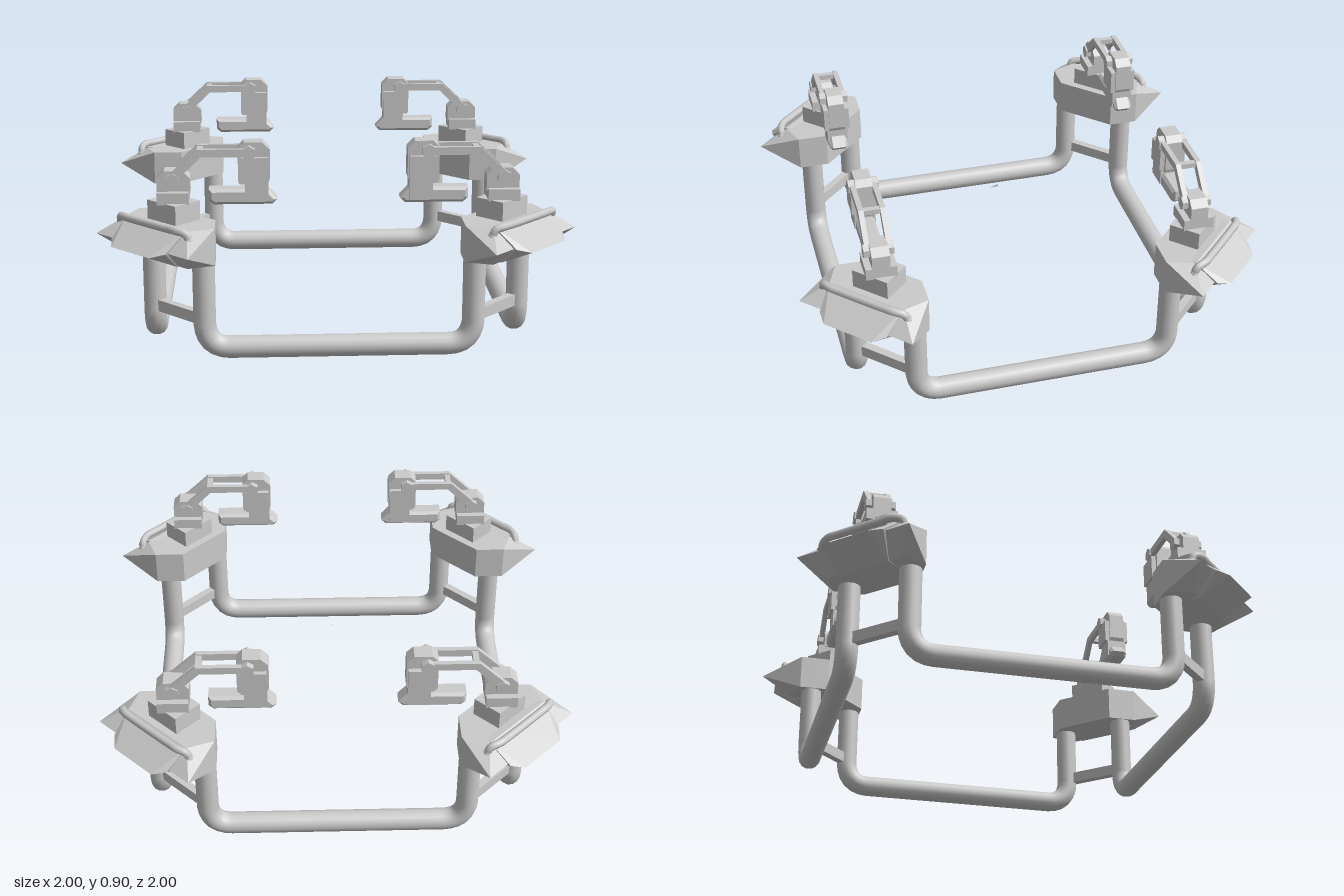
import * as THREE from 'three';
import { ConvexGeometry } from 'three/addons/geometries/ConvexGeometry.js';

const smooth = new THREE.MeshStandardMaterial({ color: 0xcccccc });
const flat = new THREE.MeshStandardMaterial({ color: 0xcccccc, flatShading: true });

function add(parent, name, geometry, material = flat) {
  const mesh = new THREE.Mesh(geometry, material);
  mesh.name = name;
  parent.add(mesh);
  return mesh;
}

// Box given by its limits in x and y, centred on a z
function box(x0, x1, y0, y1, depth, z = 0) {
  return new THREE.BoxGeometry(x1 - x0, y1 - y0, depth).translate((x0 + x1) / 2, (y0 + y1) / 2, z);
}

// Side profile extruded symmetrically in z, with optional chamfer
function plate(points, depth, z = 0, bevel = 0) {
  const shape = new THREE.Shape(points.map(([x, y]) => new THREE.Vector2(x, y)));
  const core = depth - 2 * bevel;
  return new THREE.ExtrudeGeometry(shape, {
    depth: core, bevelEnabled: bevel > 0, bevelSegments: 1,
    bevelSize: bevel, bevelOffset: -bevel, bevelThickness: bevel,
  }).translate(0, 0, z - core / 2);
}

// Convex solid mirrored in x
function mirroredHull(points) {
  return new ConvexGeometry(points.flatMap(([x, y, z]) =>
    [new THREE.Vector3(x, y, z), new THREE.Vector3(-x, y, z)]));
}

// U-shaped tube: two uprights joined by a ground rail
function railGeometry() {
  const v = (x, y) => new THREE.Vector3(x, y, 0);
  const path = new THREE.CurvePath();
  path.add(new THREE.LineCurve3(v(-0.555, 0.5), v(-0.555, 0.15)));
  path.add(new THREE.QuadraticBezierCurve3(v(-0.555, 0.15), v(-0.545, 0.05), v(-0.45, 0.05)));
  path.add(new THREE.LineCurve3(v(-0.45, 0.05), v(0.45, 0.05)));
  path.add(new THREE.QuadraticBezierCurve3(v(0.45, 0.05), v(0.545, 0.05), v(0.555, 0.15)));
  path.add(new THREE.LineCurve3(v(0.555, 0.15), v(0.555, 0.5)));
  return new THREE.TubeGeometry(path, 72, 0.047, 14, false);
}

// Corner pod: local +z points outward along the diagonal
function createPod() {
  const pod = new THREE.Group();
  pod.name = 'cornerPod';
  add(pod, 'podBody', mirroredHull([
    [0.138, 0.42, 0.852], [0.138, 0.575, 0.852],
    [0.23, 0.42, 0.944], [0.23, 0.575, 0.944],
    [0.276, 0.5, 1.138], [0.18, 0.575, 1.05], [0.18, 0.42, 1.05],
  ]));
  add(pod, 'outerPanel', mirroredHull([
    [0.18, 0.578, 1.055], [0.163, 0.5, 1.153], [0.115, 0.485, 1.195],
    [0.12, 0.416, 1.05], [0.12, 0.42, 0.98], [0.12, 0.57, 0.98],
  ]));

  // Grab handle with rounded ends
  const half = [[0.205, 0.545, 1.062], [0.198, 0.572, 1.07], [0.16, 0.583, 1.087], [0.1, 0.583, 1.089]];
  const points = [...half.map(([x, y, z]) => [-x, y, z]), ...half.slice().reverse()];
  const curve = new THREE.CatmullRomCurve3(points.map(p => new THREE.Vector3(...p)));
  add(pod, 'handle', new THREE.TubeGeometry(curve, 36, 0.017, 8, false), smooth);
  for (const s of [-1, 1]) {
    add(pod, 'handleEnd', new THREE.SphereGeometry(0.02, 10, 8), smooth)
      .position.set(s * 0.205, 0.545, 1.062);
  }

  // Arm mount and the brace between the uprights
  add(pod, 'armMount', box(-0.085, 0.085, 0.55, 0.655, 0.135, 0.955));
  add(pod, 'crossBrace', box(-0.155, 0.155, 0.15, 0.2, 0.035, 0.94));
  return pod;
}

// Jointed arm reaching along local +x
function createArm() {
  const arm = new THREE.Group();
  arm.name = 'arm';
  add(arm, 'turret', box(-0.065, 0.065, 0.65, 0.7, 0.13));
  add(arm, 'shoulder', plate([
    [-0.065, 0.69], [0.07, 0.69], [0.07, 0.755], [0.04, 0.785], [-0.035, 0.785], [-0.065, 0.755],
  ], 0.075));

  // Paired bent links
  for (const z of [-0.045, 0.045]) {
    add(arm, 'link', plate([
      [-0.012, 0.772], [0.012, 0.745], [0.115, 0.845],
      [0.31, 0.845], [0.31, 0.877], [0.1, 0.877],
    ], 0.022, z));
  }
  add(arm, 'linkSpacer', box(0.1, 0.125, 0.85, 0.872, 0.08));
  for (const [x, y] of [[0, 0.75], [0.31, 0.86]]) {
    add(arm, 'jointPin', new THREE.CylinderGeometry(0.03, 0.03, 0.125, 6).rotateX(Math.PI / 2))
      .position.set(x, y, 0);
  }

  // Wrist and gripper
  add(arm, 'wristBlock', plate([
    [0.27, 0.727], [0.385, 0.727], [0.395, 0.75], [0.395, 0.87],
    [0.365, 0.9], [0.29, 0.9], [0.265, 0.875], [0.265, 0.74],
  ], 0.07));
  add(arm, 'wristCheeks', box(0.28, 0.388, 0.735, 0.84, 0.112));
  add(arm, 'wristNeck', box(0.292, 0.388, 0.655, 0.735, 0.09));
  add(arm, 'gripper', plate([
    [0.145, 0.66], [0.165, 0.642], [0.405, 0.642], [0.425, 0.662], [0.385, 0.706], [0.145, 0.706],
  ], 0.08, 0, 0.012));
  return arm;
}

export function createModel() {
  const model = new THREE.Group();
  model.name = 'frameWithArms';

  // One tube along each side
  const rail = railGeometry();
  for (let i = 0; i < 4; i++) {
    const side = new THREE.Group();
    side.name = 'sideRail';
    add(side, 'railTube', rail, smooth).position.z = 0.77;
    side.rotation.y = i * Math.PI / 2;
    model.add(side);
  }

  // A pod and an inward-reaching arm at each corner
  for (const sx of [-1, 1]) {
    for (const sz of [-1, 1]) {
      const pod = createPod();
      pod.rotation.y = Math.atan2(sx, sz);
      model.add(pod);
      const arm = createArm();
      arm.position.set(sx * 0.675, 0, sz * 0.675);
      arm.rotation.y = sx > 0 ? Math.PI : 0;
      model.add(arm);
    }
  }

  // Tiny one-sided fin at the centre
  const fin = new THREE.BufferGeometry().setFromPoints([
    new THREE.Vector3(0, 0.5, 0.04), new THREE.Vector3(0, 0.5, 0), new THREE.Vector3(0, 0.515, 0),
  ]);
  fin.computeVertexNormals();
  add(model, 'centreFin', fin);
  return model;
}
